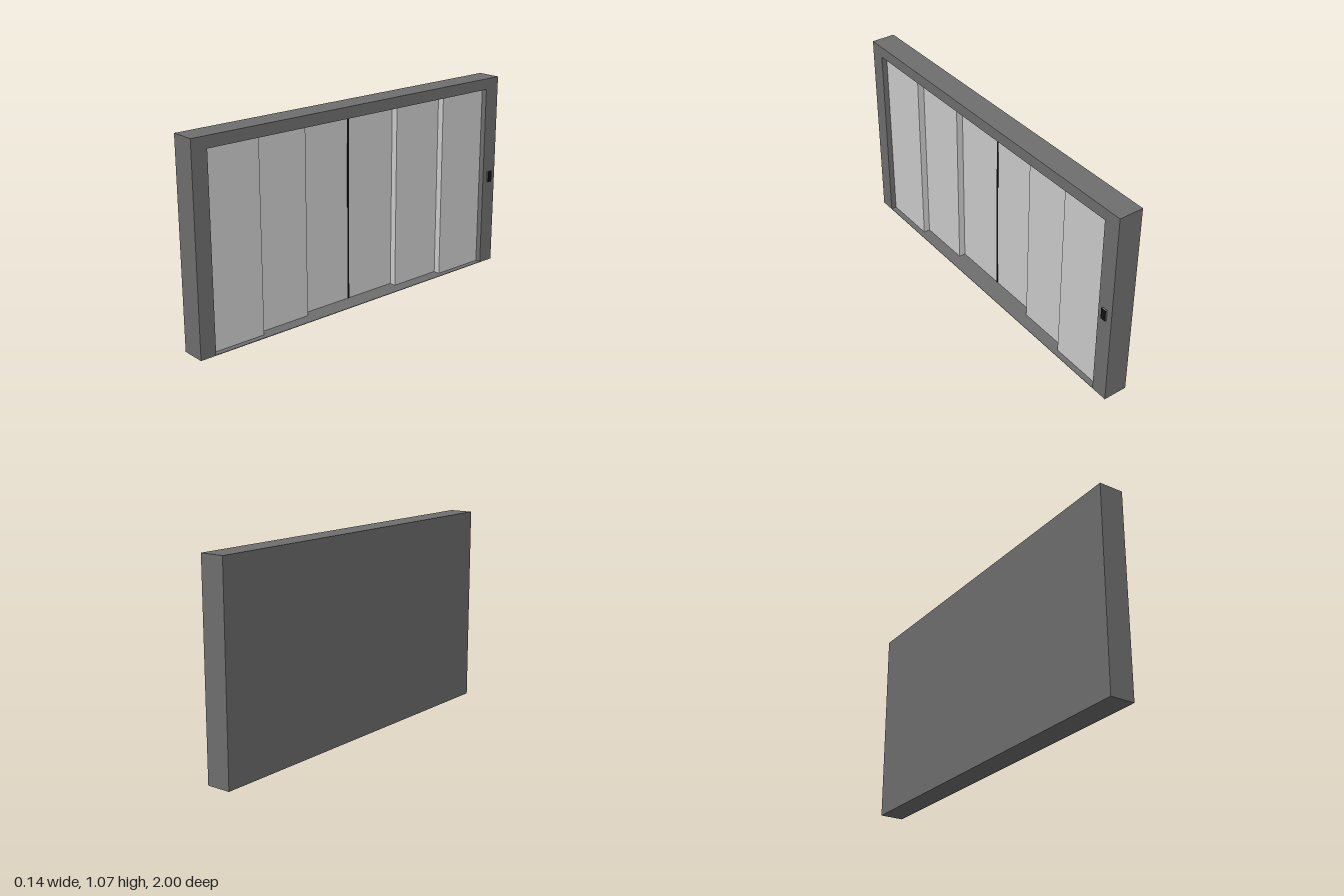
import * as THREE from 'three';

const BACK = -0.07, FRONT = 0.06, HEIGHT = 1.07, OPEN_TOP = 1.01;
const OPEN_L = 0.915, OPEN_R = -0.909, CENTRE = 0.003;

export function createModel() {
  const model = new THREE.Group();
  const panelMat = new THREE.MeshStandardMaterial({ color: 0xcccccc });
  const frameMat = new THREE.MeshStandardMaterial({ color: 0x6e6e6e });
  const blackMat = new THREE.MeshStandardMaterial({ color: 0x111111 });

  // Box given by its extents on each axis
  function box(name, mat, [x0, x1], [y0, y1], [z0, z1]) {
    const mesh = new THREE.Mesh(new THREE.BoxGeometry(x1 - x0, y1 - y0, z1 - z0), mat);
    mesh.position.set((x0 + x1) / 2, (y0 + y1) / 2, (z0 + z1) / 2);
    mesh.name = name;
    model.add(mesh);
  }

  // Portal frame: posts and header in one outline, extruded through the depth
  const outline = new THREE.Shape();
  [[-1, 0], [-1, HEIGHT], [1, HEIGHT], [1, 0], [-OPEN_R, 0], [-OPEN_R, OPEN_TOP], [-OPEN_L, OPEN_TOP], [-OPEN_L, 0]]
    .forEach(([u, v], i) => (i ? outline.lineTo(u, v) : outline.moveTo(u, v)));
  const frameGeo = new THREE.ExtrudeGeometry(outline, { depth: FRONT - BACK, bevelEnabled: false });
  frameGeo.rotateY(Math.PI / 2).translate(BACK, 0, 0);
  const frame = new THREE.Mesh(frameGeo, frameMat);
  frame.name = 'frame';
  model.add(frame);

  // Back wall and thin floor closing the opening
  box('backWall', frameMat, [BACK, BACK + 0.01], [0, OPEN_TOP], [OPEN_R, OPEN_L]);
  box('sill', frameMat, [BACK + 0.01, FRONT], [0, 0.003], [OPEN_R, OPEN_L]);

  // Three telescoping panels per side, each set deeper towards the centre
  const depths = [0.03, -0.006, -0.042];
  for (const [side, edge] of [['left', OPEN_L], ['right', OPEN_R]]) {
    const step = (CENTRE - edge) / 3;
    depths.forEach((x, i) => {
      const a = edge + step * i, b = a + step;
      box(`${side}DoorPanel${i + 1}`, panelMat, [BACK + 0.01, x], [0.003, OPEN_TOP],
        [Math.min(a, b), Math.max(a, b)]);
    });
  }

  // Dark seam where the two doors meet
  box('centreSeam', blackMat, [depths[2] - 0.005, depths[2] + 0.001], [0.003, OPEN_TOP], [CENTRE - 0.006, CENTRE + 0.006]);

  // Call button plate on the right-hand post
  box('callButtonBase', frameMat, [FRONT, 0.068], [0.477, 0.538], [-0.968, -0.938]);
  box('callButtonFace', blackMat, [0.068, 0.07], [0.477, 0.538], [-0.968, -0.938]);

  return model;
}
